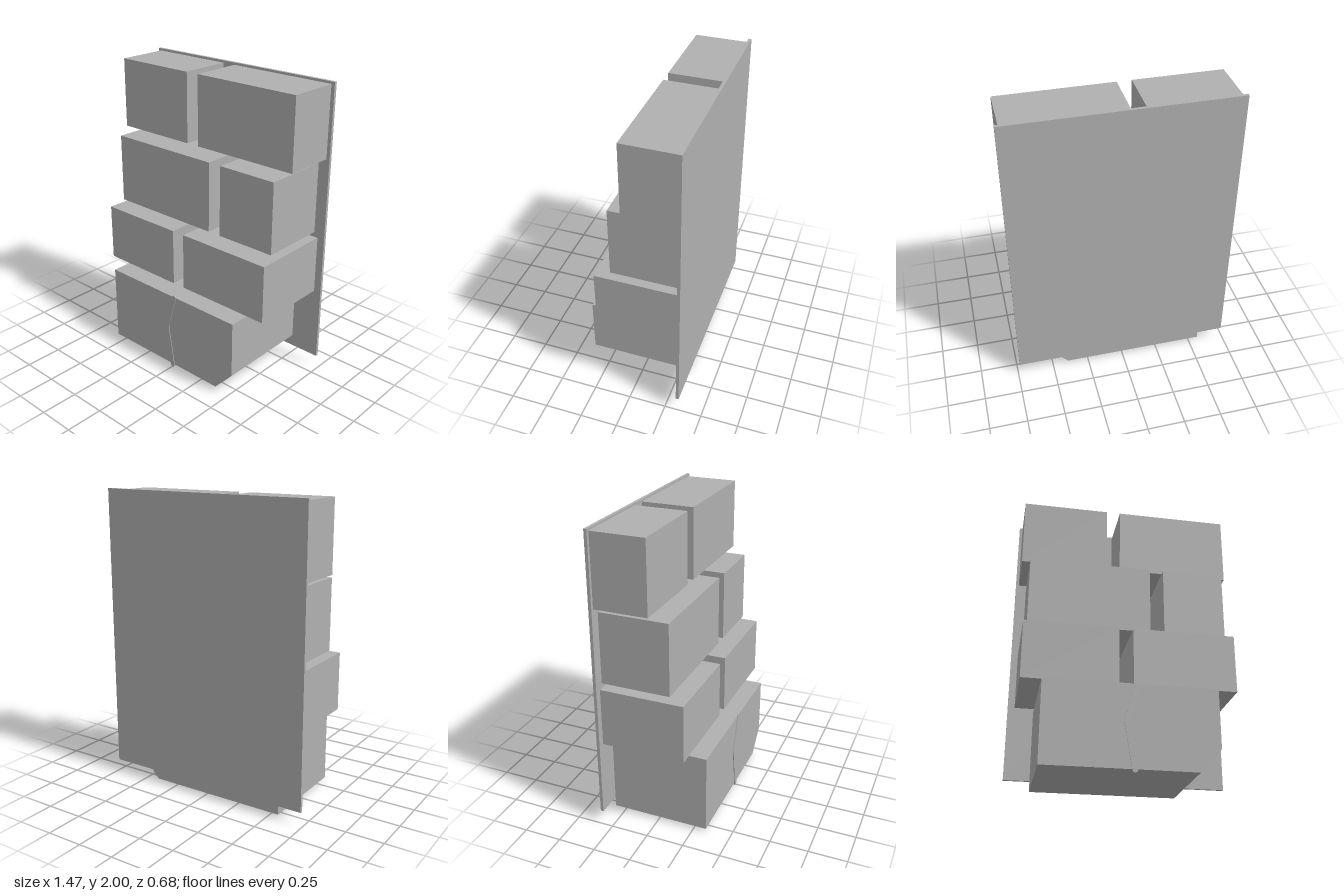
import * as THREE from 'three';

export function createModel() {
  const model = new THREE.Group();
  const grey = new THREE.MeshStandardMaterial({ color: 0xb0b0b0 });
  grey.name = 'grey';

  const add = (name, geometry) => {
    const mesh = new THREE.Mesh(geometry, grey);
    mesh.name = name;
    model.add(mesh);
    return mesh;
  };

  // Box given by its limits on each axis
  const box = (name, x0, x1, y0, y1, z0, z1) =>
    add(name, new THREE.BoxGeometry(x1 - x0, y1 - y0, z1 - z0))
      .position.set((x0 + x1) / 2, (y0 + y1) / 2, (z0 + z1) / 2);

  // Flat outline extruded between two depths
  const slab = (name, points, z0, z1) => {
    const shape = new THREE.Shape(points.map(([x, y]) => new THREE.Vector2(x, y)));
    add(name, new THREE.ExtrudeGeometry(shape, { depth: z1 - z0, bevelEnabled: false }))
      .position.z = z0;
  };

  const wall = -0.32;
  box('backPanel', -0.735, 0.735, 0.09, 2, -0.34, wall);

  // Three rows of paired blocks, each row further forward than the one above
  const rows = [
    { name: 'topBlock', y: [1.515, 1.985], front: 0.03, spans: [[-0.715, -0.133], [-0.04, 0.712]] },
    { name: 'upperBlock', y: [1.005, 1.478], front: 0.135, spans: [[-0.663, 0.15], [0.243, 0.658]] },
    { name: 'lowerBlock', y: [0.583, 0.972], front: 0.235, spans: [[-0.69, -0.077], [0.015, 0.685]] },
  ];
  for (const { name, y, front, spans } of rows) {
    spans.forEach(([x0, x1], i) =>
      box(name + (i ? 'Left' : 'Right'), x0, x1, y[0], y[1], wall, front));
  }

  // Bottom block with one cut corner
  slab('bottomBlock',
    [[-0.565, 0.02], [0.393, 0.02], [0.53, 0.17], [0.53, 0.553], [-0.565, 0.553]],
    wall, 0.335);

  // Thin bent crack line with rounded ends on the bottom block
  const r = 0.017;
  const outline = [];
  const arc = (cx, cy, from, to) => {
    for (let i = 0; i <= 8; i++) {
      const a = from + (to - from) * i / 8;
      outline.push([cx + r * Math.cos(a), cy + r * Math.sin(a)]);
    }
  };
  arc(0, 0.017, Math.PI, Math.PI * 2);
  outline.push([-0.03, 0.31]);
  arc(0.025, 0.55, -0.27, Math.PI - 0.27);
  outline.push([-0.064, 0.31]);
  slab('crackLine', outline, 0.333, 0.34);

  return model;
}
